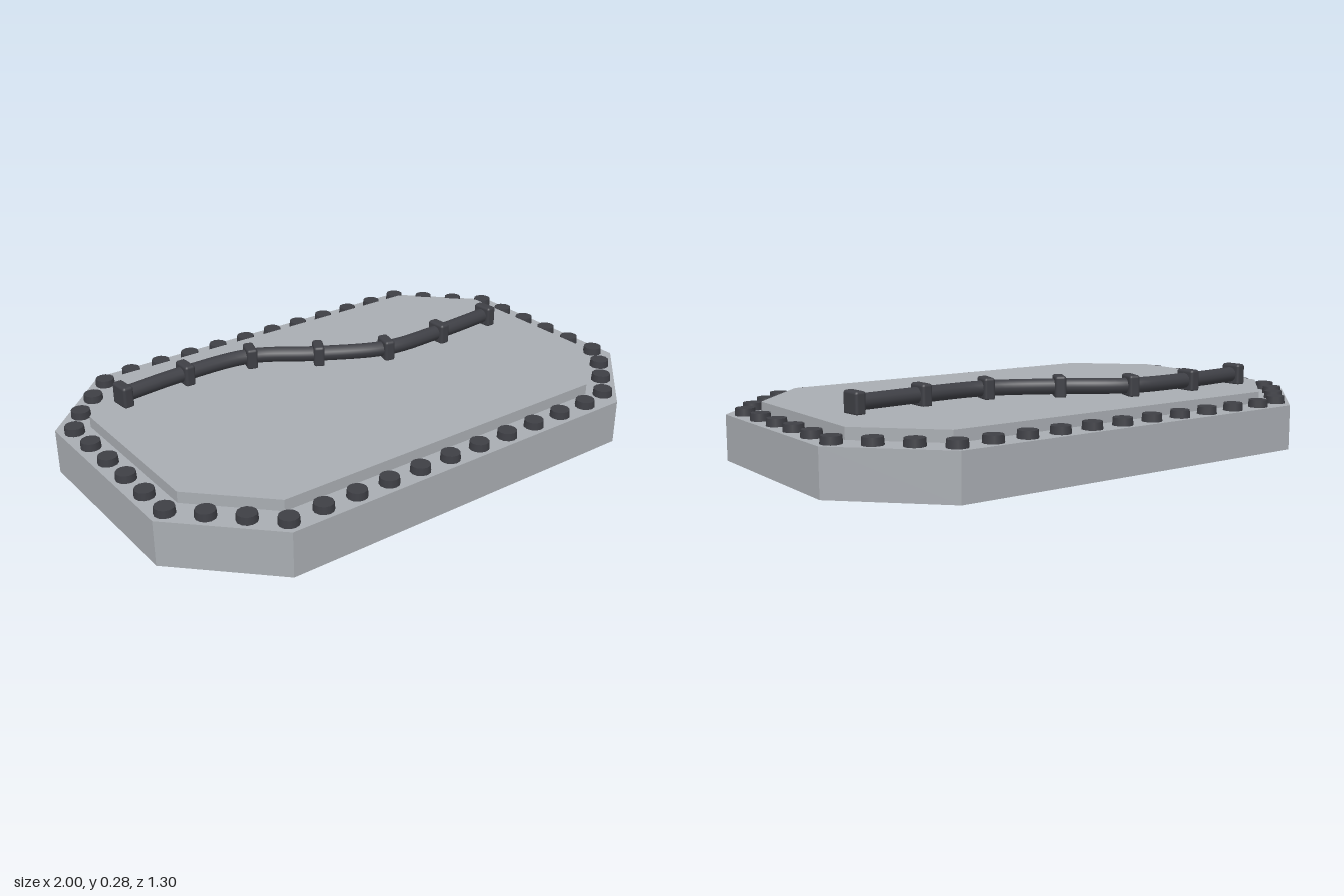
import * as THREE from 'three';
import { RoundedBoxGeometry } from 'three/addons/geometries/RoundedBoxGeometry.js';

const stone = new THREE.MeshStandardMaterial({ color: 0xa9adb2 });
stone.name = 'lightGrey';
const iron = new THREE.MeshStandardMaterial({ color: 0x3e3f45 });
iron.name = 'darkGrey';

// Corners of a rectangle with cut corners, starting at the front left of the plan
function octagon(x, z, cx, cz) {
  return [[-cx, z], [cx, z], [x, cz], [x, -cz], [cx, -z], [-cx, -z], [-x, -cz], [-x, cz]]
    .map(([a, b]) => new THREE.Vector2(a, b));
}

function slab(name, points, y, height) {
  const geo = new THREE.ExtrudeGeometry(new THREE.Shape(points), { depth: height, bevelEnabled: false });
  geo.rotateX(-Math.PI / 2);
  const mesh = new THREE.Mesh(geo, stone);
  mesh.name = name;
  mesh.position.y = y;
  return mesh;
}

export function createModel() {
  const model = new THREE.Group();
  model.name = 'rivetedPlatform';

  // Base and raised deck
  model.add(slab('base', octagon(1, 0.65, 0.7, 0.35), 0, 0.16));
  model.add(slab('deck', octagon(0.89, 0.54, 0.655, 0.305), 0.16, 0.04));

  // Rivets evenly spaced round the rim
  const rivets = new THREE.Group();
  rivets.name = 'rivets';
  const rim = octagon(0.95, 0.6, 0.68, 0.33);
  const path = new THREE.CurvePath();
  rim.forEach((p, i) => path.add(new THREE.LineCurve(p, rim[(i + 1) % rim.length])));
  const rivetGeo = new THREE.CylinderGeometry(0.033, 0.035, 0.026, 12);
  const count = 44;
  for (let i = 0; i < count; i++) {
    const p = path.getPoint(i / count);
    const rivet = new THREE.Mesh(rivetGeo, iron);
    rivet.name = 'rivet';
    rivet.position.set(p.x, 0.173, p.y);
    rivets.add(rivet);
  }
  model.add(rivets);

  // Winding pipe lying on the deck
  const pipeY = 0.235;
  const joints = [[-0.75, -0.323], [-0.49, -0.345], [-0.225, -0.329], [-0.008, -0.197],
    [0.227, -0.085], [0.487, -0.083], [0.749, -0.104]]
    .map(([x, z]) => new THREE.Vector3(x, pipeY, z));
  const curve = new THREE.CatmullRomCurve3(joints);
  const pipe = new THREE.Mesh(new THREE.TubeGeometry(curve, 48, 0.028, 12), iron);
  pipe.name = 'pipe';
  model.add(pipe);

  // Collars at each pipe joint, turned to follow the pipe
  const collarGeo = new RoundedBoxGeometry(0.04, 0.08, 0.08, 2, 0.01);
  joints.forEach((p, i) => {
    const t = curve.getTangent(i / (joints.length - 1));
    const collar = new THREE.Mesh(collarGeo, iron);
    collar.name = 'pipeCollar';
    collar.position.copy(p);
    collar.rotation.y = -Math.atan2(t.z, t.x);
    model.add(collar);
  });

  return model;
}
